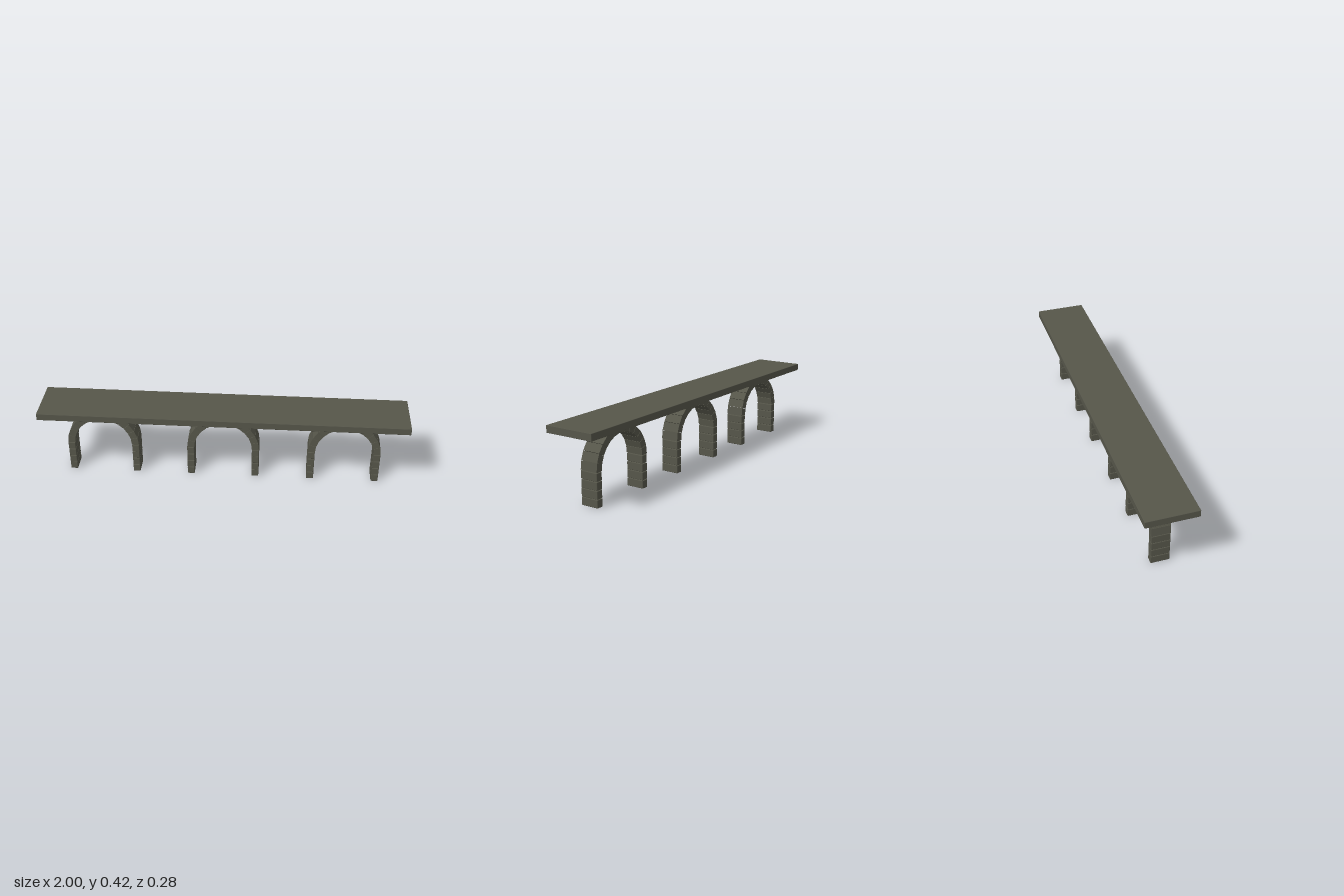
import * as THREE from 'three';
import { RoundedBoxGeometry } from 'three/addons/geometries/RoundedBoxGeometry.js';

const SPRING = 0.18;          // height where the arch curve starts
const INNER = 0.16, OUTER = 0.199;
const DEPTH = 0.1;
const COURSES = 4, WEDGES = 13;
const GAP = 0.002;            // open joint between stones

export function createModel() {
  const stone = new THREE.MeshStandardMaterial({ color: 0x56564a });
  stone.name = 'dark stone';
  const model = new THREE.Group();
  model.name = 'archBridge';

  const add = (parent, name, geometry, x = 0, y = 0, z = 0) => {
    const mesh = new THREE.Mesh(geometry, stone);
    mesh.name = name;
    mesh.position.set(x, y, z);
    parent.add(mesh);
    return mesh;
  };

  // Deck slab
  add(model, 'deck', new RoundedBoxGeometry(2, 0.038, 0.277, 1, 0.002), 0, 0.401, 0);

  // Pillar block with chamfered edges
  const pitch = SPRING / COURSES;
  const blockGeometry = new RoundedBoxGeometry(OUTER - INNER, pitch - GAP, DEPTH, 1, 0.003);

  // Wedge stone, pointing up, with its joints trimmed by half a gap
  const half = Math.PI / WEDGES / 2;
  const sx = Math.sin(half), cx = Math.cos(half);
  const trim = GAP / 2;
  const wedge = new THREE.Shape([
    new THREE.Vector2(-INNER * sx + trim, INNER * cx),
    new THREE.Vector2(INNER * sx - trim, INNER * cx),
    new THREE.Vector2(OUTER * sx - trim, OUTER * cx),
    new THREE.Vector2(-OUTER * sx + trim, OUTER * cx),
  ]);
  const wedgeGeometry = new THREE.ExtrudeGeometry(wedge, { depth: DEPTH, bevelEnabled: false });
  wedgeGeometry.translate(0, 0, -DEPTH / 2);

  // Three arches, each on two stacked pillars
  for (const x of [-0.667, 0, 0.667]) {
    const arch = new THREE.Group();
    arch.name = 'arch';
    arch.position.x = x;
    model.add(arch);

    for (const side of [-1, 1]) {
      for (let i = 0; i < COURSES; i++) {
        add(arch, side > 0 ? 'leftPillarBlock' : 'rightPillarBlock', blockGeometry,
          side * (INNER + OUTER) / 2, (pitch - GAP) / 2 + i * pitch, 0);
      }
    }

    for (let i = 0; i < WEDGES; i++) {
      const stoneMesh = add(arch, i === (WEDGES - 1) / 2 ? 'keystone' : 'archStone', wedgeGeometry, 0, SPRING, 0);
      stoneMesh.rotation.z = (i - (WEDGES - 1) / 2) * 2 * half;
    }
  }
  return model;
}
